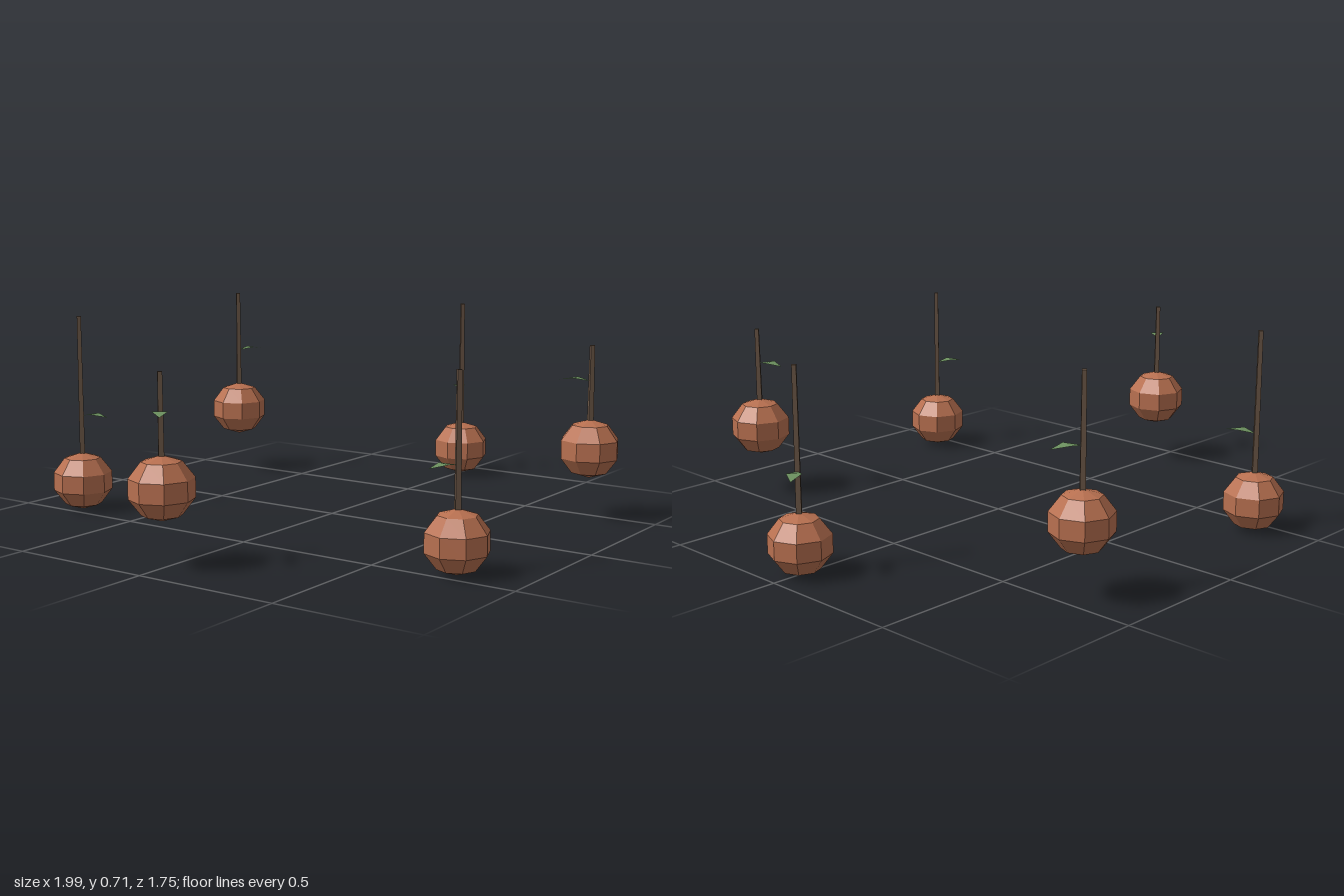
import * as THREE from 'three';

const clay = new THREE.MeshStandardMaterial({ color: 0xb87050, flatShading: true });
clay.name = 'terracotta';
const bark = new THREE.MeshStandardMaterial({ color: 0x6b5646, flatShading: true });
bark.name = 'stem brown';
const green = new THREE.MeshStandardMaterial({ color: 0x6b8f5e, flatShading: true, side: THREE.DoubleSide });
green.name = 'leaf green';

const RING = 0.892;      // radius of the circle of fruits
const R = 0.108;         // fruit radius
const RY = 0.1025;       // fruit half height
const STEM_TOPS = [0.675, 0.607, 0.622, 0.605, 0.69, 0.71];

// Diamond leaf pointing along +x, arched across its widest point
function leafGeometry() {
  const g = new THREE.BufferGeometry();
  g.setAttribute('position', new THREE.Float32BufferAttribute([
    0, 0, 0, 0.055, 0.01, 0.025, 0.055, 0.01, -0.025, 0.113, 0, 0,
  ], 3));
  g.setIndex([0, 1, 2, 1, 3, 2]);
  g.computeVertexNormals();
  return g;
}

function part(name, geometry, material, y) {
  const mesh = new THREE.Mesh(geometry, material);
  mesh.name = name;
  mesh.position.y = y;
  return mesh;
}

export function createModel() {
  const model = new THREE.Group();
  model.name = 'hangingFruitRing';
  const fruitGeo = new THREE.SphereGeometry(R, 8, 5).scale(1, RY / R, 1);
  const leafGeo = leafGeometry();

  STEM_TOPS.forEach((top, i) => {
    const a = (i * Math.PI) / 3;
    const y = RY + (i % 2) * 0.146; // alternate low and high
    const item = new THREE.Group();
    item.name = 'hangingFruit' + (i + 1);
    item.position.set(RING * Math.cos(a), 0, RING * Math.sin(a));

    item.add(part('fruit', fruitGeo, clay, y));

    const base = y + RY * 0.9;
    const stemGeo = new THREE.CylinderGeometry(0.01, 0.0125, top - base, 4);
    item.add(part('stem', stemGeo, bark, (top + base) / 2));

    const leaf = part('leaf', leafGeo, green, y + 0.234);
    leaf.rotation.y = THREE.MathUtils.degToRad(40) + a;
    item.add(leaf);

    model.add(item);
  });
  return model;
}
